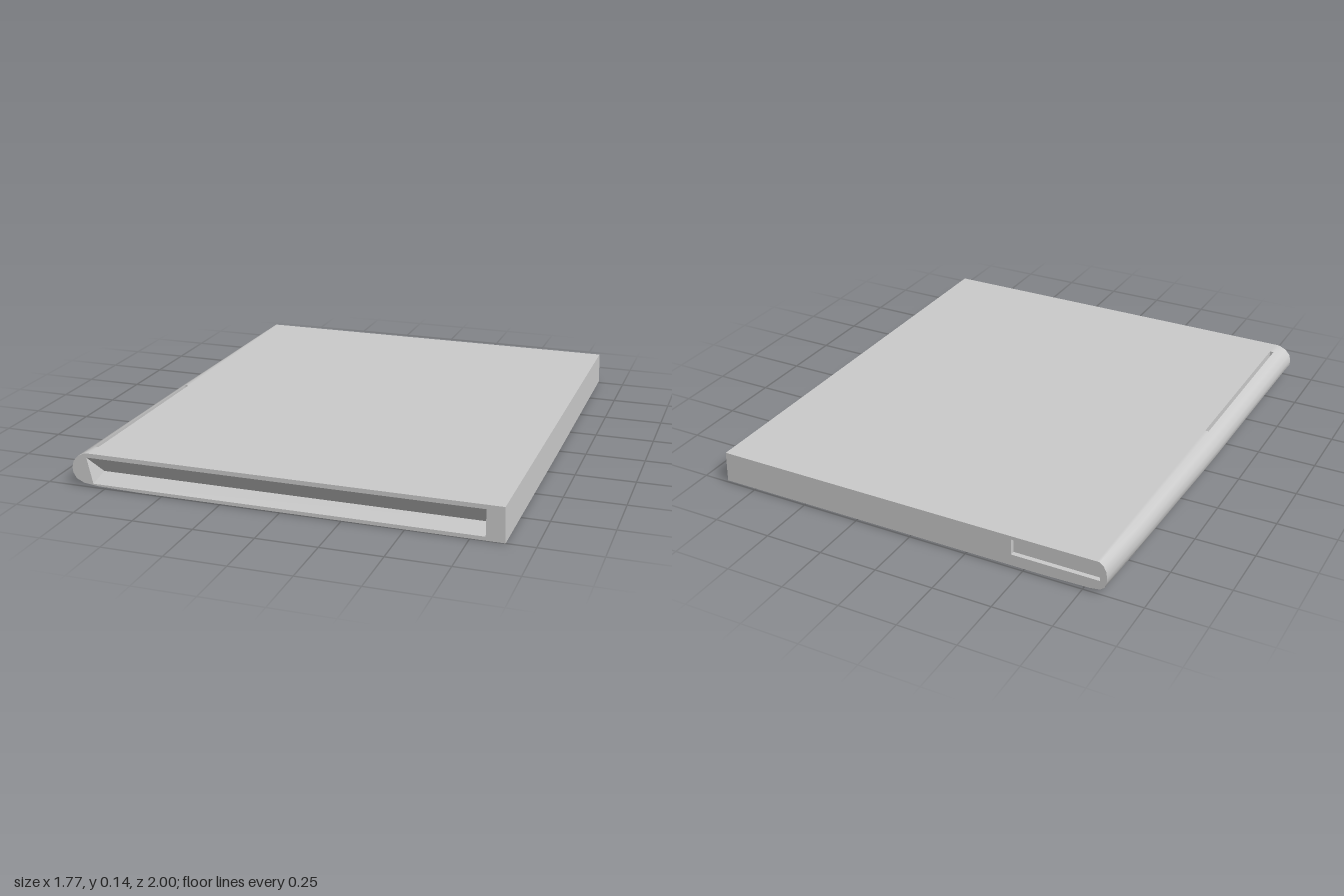
import * as THREE from 'three';
import { toCreasedNormals } from 'three/addons/utils/BufferGeometryUtils.js';

const material = new THREE.MeshStandardMaterial({ color: 0xcccccc });
const H = 0.143;

// Builds a geometry from quads (or triangles) given as corner arrays
function fromFaces(faces) {
  const p = [];
  for (const f of faces)
    for (let i = 1; i < f.length - 1; i++) p.push(...f[0], ...f[i], ...f[i + 1]);
  const g = new THREE.BufferGeometry();
  g.setAttribute('position', new THREE.Float32BufferAttribute(p, 3));
  g.computeVertexNormals();
  return g;
}

// Cross-section of the case, counter-clockwise; the rounded spine narrows to the back
function section(z, spineX, groove) {
  const k = (spineX - 0.8) / 0.09;
  const pts = [
    [-0.58, 0.003], [0.885, 0], [0.88, H],
    [-0.812, H], [-0.812, H - groove], [-0.829, H - groove], [-0.829, H],
    [-0.862, 0.128], [-0.883, 0.105], [-0.89, 0.078], [-0.888, 0.055],
    [-0.873, 0.03], [-0.84, 0.015], [-0.78, 0.008],
  ];
  return pts.map(([x, y]) => [
    x < -0.8 ? -0.8 + (x + 0.8) * k : x,
    y + Math.max(0, -z) * 0.008 * (1 - y / H),
    z,
  ]);
}

// End face with one opening cut out
function endCap(outline, opening, facesBack) {
  const shape = new THREE.Shape(outline.map(([x, y]) => new THREE.Vector2(x, y)));
  shape.holes.push(new THREE.Path(opening.map(([x, y]) => new THREE.Vector2(x, y))));
  const g = new THREE.ShapeGeometry(shape);
  if (facesBack) g.index.array.reverse();
  g.translate(0, 0, outline[0][2]);
  g.computeVertexNormals();
  return g;
}

export function createModel() {
  const model = new THREE.Group();
  const add = (name, geometry) => {
    const mesh = new THREE.Mesh(geometry, material);
    mesh.name = name;
    model.add(mesh);
  };

  // Case shell: z, spine half-width, depth of the hinge groove
  const stations = [
    [-1, 0.848, 0], [-0.7, 0.86, 0], [-0.4, 0.867, 0], [-0.1, 0.876, 0],
    [0.08, 0.88, 0], [0.08, 0.88, 0.03], [0.92, 0.888, 0.03], [0.92, 0.888, 0], [1, 0.89, 0],
  ];
  const rings = stations.map((s) => section(...s));
  const shell = [];
  for (let j = 0; j < rings.length - 1; j++) {
    const a = rings[j], b = rings[j + 1];
    for (let i = 0; i < a.length; i++) {
      const n = (i + 1) % a.length;
      shell.push([a[i], a[n], b[n], b[i]]);
    }
  }
  add('caseShell', toCreasedNormals(fromFaces(shell), 0.6));

  // Outlines of the two ends, without the groove floor points
  const outline = (ring) => ring.filter((_, i) => i < 4 || i > 5);

  // Front face with a long V-shaped recess
  const front = [[-0.825, 0.125], [0.81, 0.125], [0.81, 0.016], [-0.8, 0.016]];
  add('frontFace', endCap(outline(rings[rings.length - 1]), front, false));
  const [A, B, C, D] = front.map(([x, y]) => [x, y, 1]);
  const E = [-0.77, 0.06, 0.96], F = [0.81, 0.06, 0.96];
  add('frontRecess', fromFaces([
    [E, F, B, A], // upper slope
    [D, C, F, E], // lower slope
    [D, E, A],    // spine end
    [F, C, B],    // fore end
  ]));

  // Back face with a shallow notch next to the spine
  const back = [[-0.82, 0.128], [-0.45, 0.128], [-0.45, 0.06], [-0.82, 0.06]];
  add('backFace', endCap(outline(rings[0]), back, true));
  const outer = back.map(([x, y]) => [x, y, -1]);
  const inner = back.map(([x, y]) => [x, y, -0.98]);
  const notch = [inner];
  for (let i = 0; i < 4; i++) {
    const n = (i + 1) % 4;
    notch.push([outer[i], outer[n], inner[n], inner[i]]);
  }
  add('backNotch', fromFaces(notch));

  return model;
}
